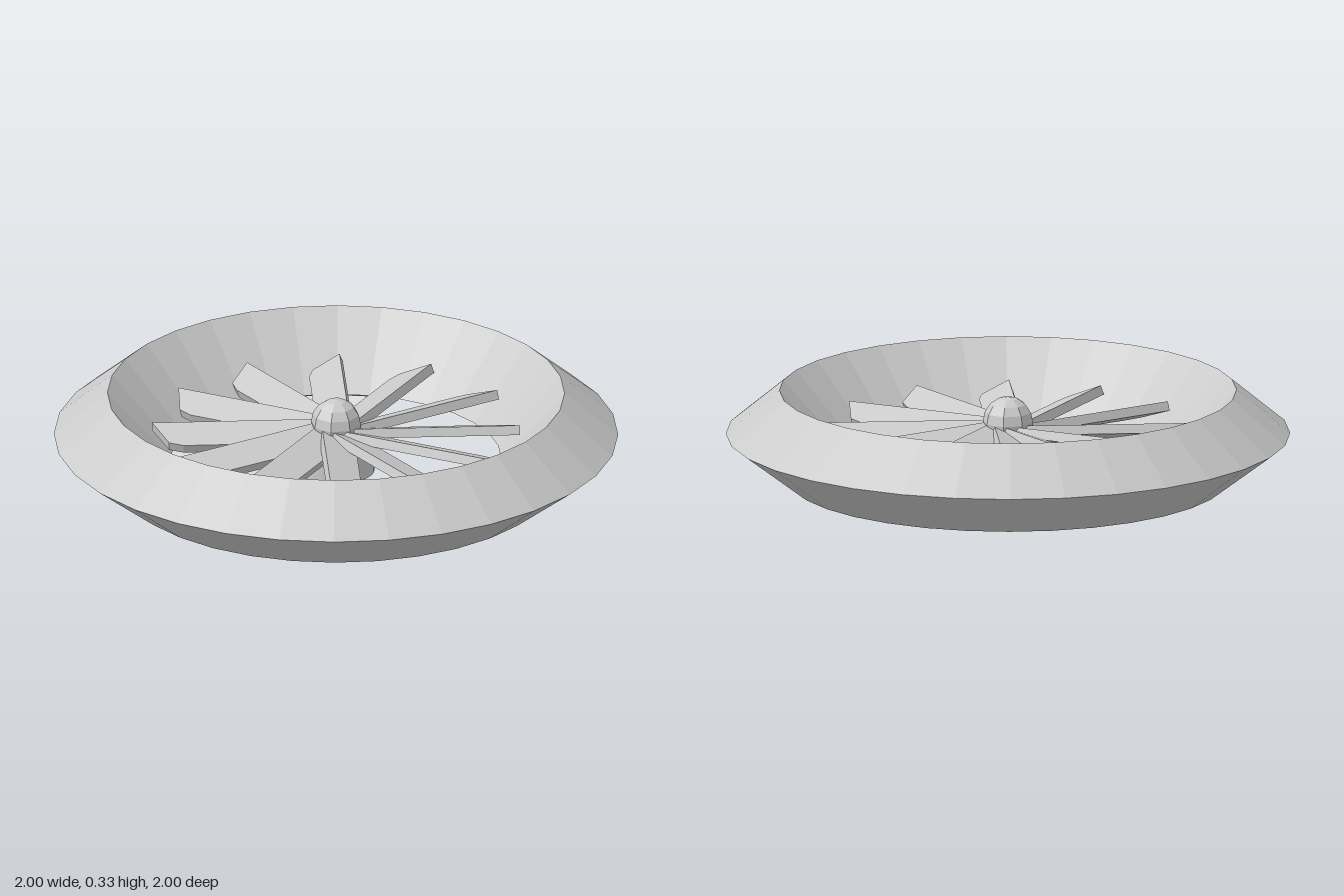
import * as THREE from 'three';

const mat = new THREE.MeshStandardMaterial({ color: 0xcccccc, flatShading: true });
const smooth = new THREE.MeshStandardMaterial({ color: 0xcccccc });

function part(name, geometry, material = mat) {
  const mesh = new THREE.Mesh(geometry, material);
  mesh.name = name;
  return mesh;
}

export function createModel() {
  const group = new THREE.Group();
  group.name = 'ringFan';

  // Faceted ring with a four-sided section: underside, outer slope, inner bowl
  const section = [[0.775, 0], [1, 0.172], [0.81, 0.33], [0.585, 0.082], [0.775, 0]];
  group.add(part('ring', new THREE.LatheGeometry(section.map(p => new THREE.Vector2(...p)), 32)));

  // Hub drum under the blades and domed cap above them
  const hub = part('hub', new THREE.CylinderGeometry(0.137, 0.137, 0.123, 32), smooth);
  hub.position.y = 0.0985;
  const cap = part('hubCap', new THREE.SphereGeometry(0.09, 8, 8));
  cap.position.y = 0.215;
  group.add(hub, cap);

  // Pitched blade with a slanted tip, pointing along +x
  const thickness = 0.034, half = 0.061, pitch = 0.36;
  const outline = new THREE.Shape([
    [0.03, -half], [0.65, -half], [0.595, 0.045], [0.545, half], [0.03, half],
  ].map(p => new THREE.Vector2(...p)));
  const bladeGeometry = new THREE.ExtrudeGeometry(outline, { depth: thickness, bevelEnabled: false });
  bladeGeometry.translate(0, 0, -thickness / 2);
  bladeGeometry.rotateX(-Math.PI / 2 - pitch);
  bladeGeometry.translate(0, 0.173, 0);

  // Twelve blades around the hub
  const blades = new THREE.Group();
  blades.name = 'blades';
  for (let i = 0; i < 12; i++) {
    const blade = part('blade', bladeGeometry);
    blade.rotation.y = (i * Math.PI) / 6;
    blades.add(blade);
  }
  group.add(blades);
  return group;
}
